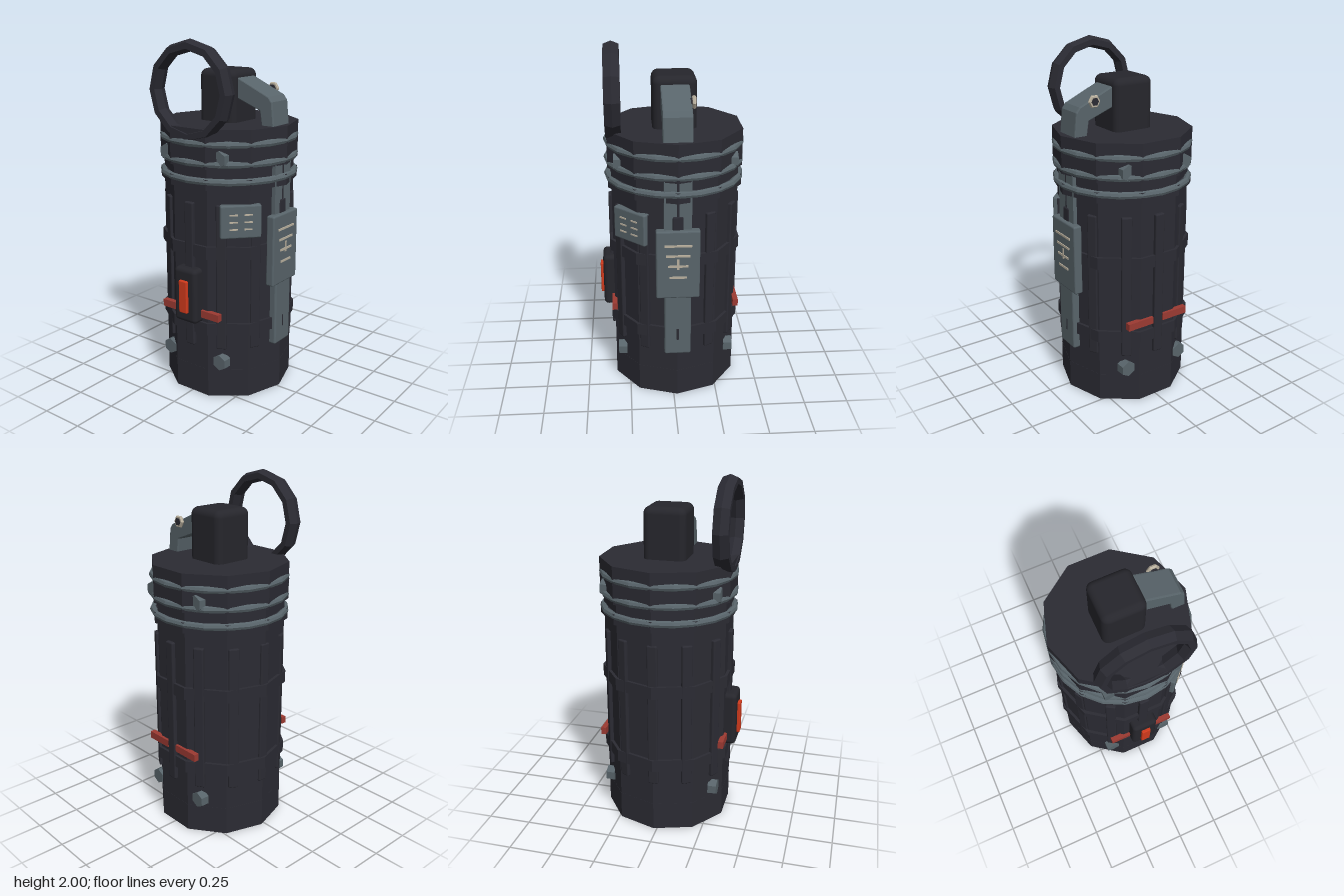
import * as THREE from 'three';
import { RoundedBoxGeometry } from 'three/addons/geometries/RoundedBoxGeometry.js';

const mat = (name, color, flatShading = true) => {
  const m = new THREE.MeshStandardMaterial({ color, flatShading });
  m.name = name;
  return m;
};

export function createModel() {
  const shell = mat('dark shell', 0x2b2b33);
  const black = mat('soft black', 0x26262c, false);
  const steel = mat('blue grey steel', 0x58646a);
  const rust = mat('dull red', 0x9c3a32);
  const orange = mat('button orange', 0xd03a1c);
  const cream = mat('cream', 0xb9b09e);

  const model = new THREE.Group();
  model.name = 'canister';
  const core = new THREE.Group();
  core.name = 'core';
  core.position.x = 0.02;
  model.add(core);

  const add = (name, geo, material, x = 0, y = 0, z = 0, parent = core) => {
    const m = new THREE.Mesh(geo, material);
    m.name = name;
    m.position.set(x, y, z);
    parent.add(m);
    return m;
  };
  const box = (name, w, h, d, material, x, y, z, parent) =>
    add(name, new THREE.BoxGeometry(w, h, d), material, x, y, z, parent);
  const rounded = (name, w, h, d, r, material, x, y, z, parent) =>
    add(name, new RoundedBoxGeometry(w, h, d, 3, r), material, x, y, z, parent);
  // ten-sided drum between two heights
  const drum = (name, r, y0, y1) =>
    add(name, new THREE.CylinderGeometry(r, r, y1 - y0, 10), shell, 0, (y0 + y1) / 2, 0);

  // Body, cap and bands
  drum('base', 0.37, 0, 0.165);
  drum('body', 0.369, 0.165, 1.4);
  drum('lowerBand', 0.386, 0.385, 0.455);
  drum('upperBand', 0.386, 0.835, 0.905);
  drum('collar', 0.388, 1.22, 1.28);
  drum('cap', 0.389, 1.335, 1.545);

  // Steel rings around the cap
  for (const y of [1.265, 1.36, 1.465]) {
    const ring = new THREE.TorusGeometry(0.372, 0.02, 8, 20).rotateX(Math.PI / 2);
    add('capRing', ring, steel, 0, y, 0);
  }

  // Twelve upright ribs
  for (let i = 0; i < 12; i++) {
    const arm = new THREE.Group();
    arm.name = 'rib';
    arm.rotation.y = (i * Math.PI) / 6;
    core.add(arm);
    rounded('ribBar', 0.058, 0.84, 0.05, 0.008, shell, 0, 0.72, 0.347, arm);
  }

  // Hex bolts and red marker bars on both sides
  for (const side of [1, -1]) {
    for (const end of [1, -1]) {
      for (const y of [0.22, 1.39]) {
        const hex = new THREE.CylinderGeometry(0.046, 0.048, 0.05, 6).rotateZ(-side * Math.PI / 2);
        hex.rotateX(Math.PI / 2);
        add('bolt', hex, steel, side * 0.311, y, end * 0.18);
      }
      box('markerBar', 0.03, 0.042, 0.165, rust, side * 0.352, 0.505, end * 0.116);
    }
  }

  // Front strap and plate
  rounded('strapLower', 0.15, 0.5, 0.06, 0.012, steel, 0, 0.54, 0.354);
  box('strapUpper', 0.15, 0.6, 0.04, steel, 0, 1.04, 0.347);
  rounded('frontPlate', 0.24, 0.405, 0.05, 0.01, steel, 0, 0.862, 0.367);
  [[0.98, 0.15], [0.92, 0.13], [0.858, 0.11], [0.79, 0.095]].forEach(([y, w]) =>
    box('plateLine', w, 0.012, 0.008, cream, 0, y, 0.393));
  box('plateTick', 0.012, 0.06, 0.008, cream, 0, 0.87, 0.3925);

  // Angled readout with plain bars
  const readout = new THREE.Group();
  readout.name = 'readout';
  readout.rotation.y = -0.76;
  core.add(readout);
  rounded('readoutCase', 0.225, 0.185, 0.045, 0.01, steel, 0, 1.05, 0.357, readout);
  for (const x of [-0.04, 0.04])
    for (const y of [1.01, 1.05, 1.09])
      box('readoutBar', 0.045, 0.008, 0.006, cream, x, y, 0.381, readout);

  // Side button
  rounded('buttonHousing', 0.09, 0.32, 0.155, 0.025, black, -0.35, 0.61, 0, model);
  rounded('button', 0.04, 0.19, 0.056, 0.006, orange, -0.392, 0.607, 0, model);

  // Top block
  rounded('topBlock', 0.24, 0.325, 0.24, 0.04, black, 0.02, 1.667, -0.004, model);

  // Bent lever, drawn in side profile (z, y)
  const profile = [[0.06, 1.8], [0.12, 1.78], [0.31, 1.695], [0.33, 1.67], [0.345, 1.53],
    [0.28, 1.53], [0.265, 1.625], [0.12, 1.68], [0.06, 1.7]].map(([z, y]) => new THREE.Vector2(z, y));
  const lever = new THREE.ExtrudeGeometry(new THREE.Shape(profile), {
    depth: 0.138, bevelEnabled: true, bevelThickness: 0.009, bevelSize: 0.006, bevelSegments: 2,
  });
  lever.translate(0, 0, -0.069).rotateY(-Math.PI / 2);
  add('lever', lever, steel);

  // Pivot on the lever
  const pivot = new THREE.CylinderGeometry(0.022, 0.022, 0.03, 6).rotateZ(Math.PI / 2);
  add('pivotPin', pivot, shell, 0.088, 1.725, 0.235);
  const nut = new THREE.TorusGeometry(0.026, 0.011, 6, 6).rotateY(Math.PI / 2);
  add('pivotNut', nut, cream, 0.09, 1.725, 0.235);

  // Pull ring
  const pull = new THREE.TorusGeometry(0.237, 0.033, 6, 12).rotateY(Math.PI / 2);
  pull.scale(1.48, 1, 1);
  add('pullRing', pull, shell, -0.313, 1.73, 0, model);

  return model;
}
